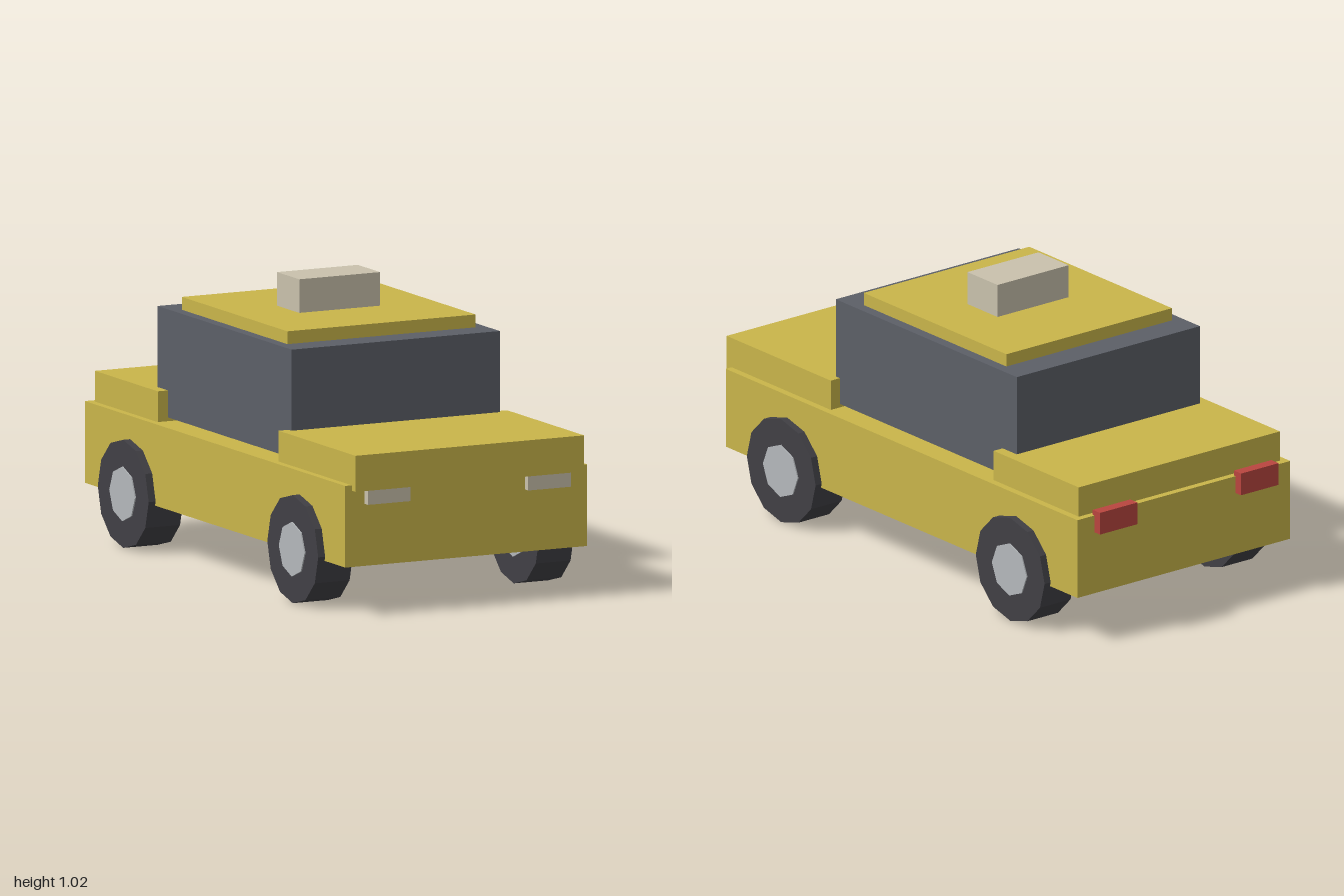
import * as THREE from 'three';

const material = (name, color, flatShading = false) => {
  const m = new THREE.MeshStandardMaterial({ color, flatShading });
  m.name = name;
  return m;
};

export function createModel() {
  const car = new THREE.Group();
  car.name = 'car';

  const paint = material('yellow paint', 0xc9b54a);
  const glass = material('dark glass', 0x5c5f67);
  const cream = material('cream lamp', 0xc9c1ac);
  const red = material('red lamp', 0xb9453f);
  const rubber = material('tyre rubber', 0x414045, true);
  const metal = material('hub metal', 0xb4b8bb, true);

  // Box given by its lower and upper limits on each axis
  const box = (name, mat, [x0, x1], [y0, y1], [z0, z1]) => {
    const mesh = new THREE.Mesh(new THREE.BoxGeometry(x1 - x0, y1 - y0, z1 - z0), mat);
    mesh.position.set((x0 + x1) / 2, (y0 + y1) / 2, (z0 + z1) / 2);
    mesh.name = name;
    car.add(mesh);
  };

  // Bodywork
  box('body', paint, [-0.473, 0.473], [0.175, 0.462], [-0.97, 0.973]);
  box('hood', paint, [-0.447, 0.447], [0.443, 0.57], [0.425, 1]);
  box('trunk', paint, [-0.447, 0.447], [0.443, 0.57], [-0.945, -0.475]);

  // Cabin, sitting just clear of the body, with roof panel and roof sign
  box('cabin', glass, [-0.407, 0.407], [0.475, 0.855], [-0.553, 0.447]);
  box('roof', paint, [-0.368, 0.368], [0.855, 0.9], [-0.447, 0.341]);
  box('roofSign', cream, [-0.158, 0.158], [0.9, 1.018], [-0.137, 0.029]);

  // Lamps on both sides
  for (const [side, s] of [['left', 1], ['right', -1]]) {
    const x = [s * 0.23, s * 0.397].sort((a, b) => a - b);
    box(side + 'Headlight', cream, x, [0.393, 0.473], [0.96, 0.997]);
    box(side + 'Taillight', red, x, [0.4, 0.48], [-1, -0.96]);
  }

  // Wheels: a twelve-sided tyre with an eight-sided hub showing through both faces
  const tyre = new THREE.CylinderGeometry(0.19, 0.19, 0.136, 12).rotateZ(Math.PI / 2);
  const hub = new THREE.CylinderGeometry(0.096, 0.096, 0.145, 8).rotateZ(Math.PI / 2);
  for (const [end, z] of [['front', 0.633], ['back', -0.632]]) {
    for (const [side, s] of [['Left', 1], ['Right', -1]]) {
      const wheel = new THREE.Group();
      wheel.name = end + side + 'Wheel';
      for (const [name, geo, mat] of [['tyre', tyre, rubber], ['hub', hub, metal]]) {
        const mesh = new THREE.Mesh(geo, mat);
        mesh.name = name;
        wheel.add(mesh);
      }
      wheel.position.set(s * 0.432, 0.19, z);
      car.add(wheel);
    }
  }
  return car;
}
